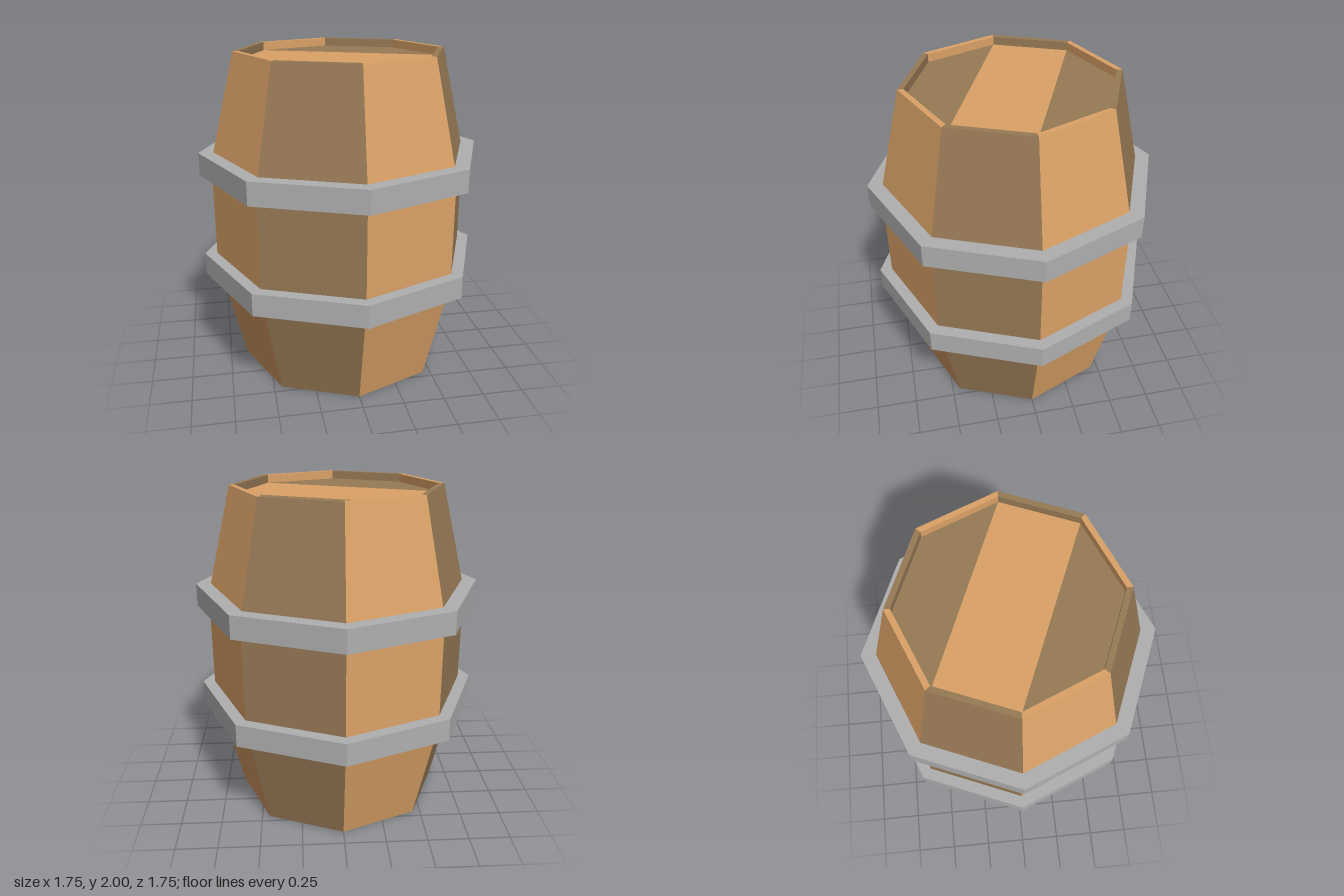
import * as THREE from 'three';

const SIDES = 8;
const STEP = (Math.PI * 2) / SIDES;
const RECESS = 0.05;   // depth of the two heads below the rims
const HEAD_R = 0.605;

const lightWood = new THREE.MeshStandardMaterial({ color: 0xdba267 });
lightWood.name = 'lightWood';
const darkWood = new THREE.MeshStandardMaterial({ color: 0x987a56 });
darkWood.name = 'darkWood';
const hoopMetal = new THREE.MeshStandardMaterial({ color: 0xb0b0b0 });
hoopMetal.name = 'hoopMetal';

// Turned profile with flat facets
function facetedLathe(profile, segments, start, length) {
  const points = profile.map(([r, y]) => new THREE.Vector2(r, y));
  const geometry = new THREE.LatheGeometry(points, segments, start, length).toNonIndexed();
  geometry.computeVertexNormals();
  return geometry;
}

function addMesh(group, name, geometry, material) {
  const mesh = new THREE.Mesh(geometry, material);
  mesh.name = name;
  group.add(mesh);
}

// One board of a head, spanning the listed octagon corners
function headBoard(corners, up) {
  const points = corners.map((i) => new THREE.Vector2(
    HEAD_R * Math.sin(i * STEP),
    HEAD_R * Math.cos(i * STEP) * (up ? -1 : 1)
  ));
  const geometry = new THREE.ShapeGeometry(new THREE.Shape(points));
  geometry.rotateX(up ? -Math.PI / 2 : Math.PI / 2);
  geometry.translate(0, up ? 2 - RECESS : RECESS, 0);
  return geometry;
}

export function createModel() {
  const barrel = new THREE.Group();
  barrel.name = 'barrel';

  // Staves: outer bulge, rims and inner lips, in alternating wood
  const staveProfile = [
    [HEAD_R, RECESS], [HEAD_R, 0], [0.64, 0], [0.8, 0.667],
    [0.8, 1.333], [0.64, 2], [HEAD_R, 2], [HEAD_R, 2 - RECESS],
  ];
  for (let i = 0; i < SIDES; i++) {
    addMesh(barrel, `stave${i + 1}`, facetedLathe(staveProfile, 1, i * STEP, STEP),
      i % 2 ? darkWood : lightWood);
  }

  // Hoops: closed octagonal rings
  [['lowerHoop', 0.6], ['upperHoop', 1.26]].forEach(([name, y]) => {
    const profile = [[0.76, y], [0.875, y], [0.875, y + 0.14], [0.76, y + 0.14], [0.76, y]];
    addMesh(barrel, name, facetedLathe(profile, SIDES, 0, Math.PI * 2), hoopMetal);
  });

  // Heads: a light middle board between two dark ones (corner 0 at +z, 2 at +x)
  const boards = [
    ['MiddleBoard', [1, 2, 5, 6], lightWood],
    ['BackBoard', [2, 3, 4, 5], darkWood],
    ['FrontBoard', [6, 7, 0, 1], darkWood],
  ];
  [['top', true], ['bottom', false]].forEach(([end, up]) => {
    boards.forEach(([name, corners, material]) =>
      addMesh(barrel, end + name, headBoard(corners, up), material));
  });

  return barrel;
}
